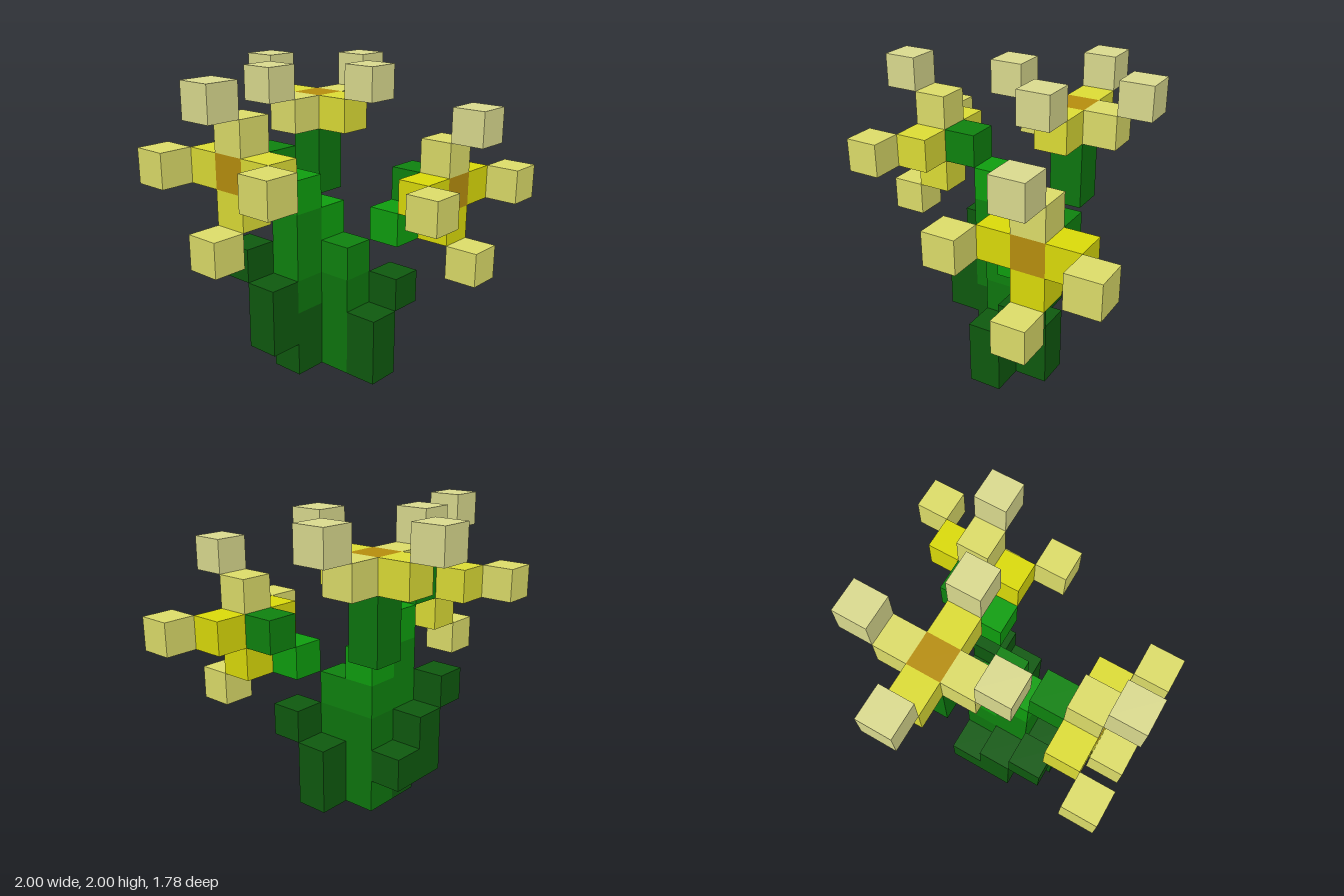
import * as THREE from 'three';

const U = 2 / 9; // edge of one cube

const COLORS = {
  leaf: 0x0f5a0f, stalk: 0x0e760e, stem: 0x0f830f, shoot: 0x0f9f0f, neck: 0x0d760f,
  heart: 0xb88f0e, gold: 0xdcdc0a, yellow: 0xdede36, lemon: 0xdede6a, pale: 0xdcdc90,
};
const materials = {};
for (const key in COLORS) materials[key] = new THREE.MeshStandardMaterial({ color: COLORS[key], flatShading: true });

// Block of cubes: first cell [x, y, z] and its size in cells
function block(parent, name, color, cell, size = [1, 1, 1]) {
  const mesh = new THREE.Mesh(new THREE.BoxGeometry(size[0] * U, size[1] * U, size[2] * U), materials[color]);
  mesh.position.set(
    (cell[0] + size[0] / 2 - 4.5) * U,
    (cell[1] + size[1] / 2) * U,
    (cell[2] + size[2] / 2 - 4) * U,
  );
  mesh.name = name;
  parent.add(mesh);
}

// Flower: a heart, four petals across the facing direction, four tips pushed one cell forward.
// Each petal is [direction, petal colour, tip colour].
function flower(parent, name, center, facing, petals) {
  const group = new THREE.Group();
  group.name = name;
  block(group, 'flowerHeart', 'heart', center);
  for (const [dir, petalColor, tipColor] of petals) {
    block(group, 'petal', petalColor, center.map((c, i) => c + dir[i]));
    block(group, 'petalTip', tipColor, center.map((c, i) => c + 2 * dir[i] + facing[i]));
  }
  parent.add(group);
}

export function createModel() {
  const model = new THREE.Group();
  model.name = 'flowerPlant';

  // Main stalk and its rising branches
  const stalk = new THREE.Group();
  stalk.name = 'stalk';
  block(stalk, 'lowerStalk', 'stalk', [4, 0, 3], [1, 3, 2]);
  block(stalk, 'lowerStalkSide', 'stalk', [3, 2, 3]);
  block(stalk, 'upperStalk', 'stem', [4, 3, 3], [1, 1, 2]);
  block(stalk, 'upperStalkSide', 'stem', [3, 3, 3], [1, 2, 1]);
  block(stalk, 'rightShoot', 'shoot', [3, 5, 3]);
  block(stalk, 'centreShoot', 'shoot', [4, 4, 3]);
  block(stalk, 'frontShoot', 'shoot', [5, 4, 5]);
  block(stalk, 'rightFlowerStem', 'stem', [2, 6, 3]);
  block(stalk, 'frontFlowerStem', 'stem', [6, 5, 5]);
  block(stalk, 'topFlowerStem', 'neck', [5, 5, 2], [1, 2, 1]);
  model.add(stalk);

  // Dark leaves hugging the base
  const leaves = new THREE.Group();
  leaves.name = 'leaves';
  block(leaves, 'frontLeaf', 'leaf', [4, 0, 5], [1, 2, 1]);
  block(leaves, 'leftLeaf', 'leaf', [5, 0, 4], [1, 2, 1]);
  block(leaves, 'frontLeafTip', 'leaf', [5, 2, 5]);
  block(leaves, 'innerLeaf', 'leaf', [3, 0, 3], [1, 2, 1]);
  block(leaves, 'rightLeaf', 'leaf', [2, 1, 3], [1, 2, 1]);
  block(leaves, 'backLeaf', 'leaf', [3, 1, 2], [1, 2, 1]);
  block(leaves, 'backLeafStep', 'leaf', [4, 1, 2]);
  block(leaves, 'backLeafTip', 'leaf', [2, 3, 2]);
  model.add(leaves);

  // Three flowers: facing up, facing right (-x) and facing front
  flower(model, 'topFlower', [5, 7, 2], [0, 1, 0], [
    [[1, 0, 0], 'lemon', 'pale'], [[-1, 0, 0], 'lemon', 'pale'],
    [[0, 0, 1], 'yellow', 'pale'], [[0, 0, -1], 'yellow', 'pale'],
  ]);
  flower(model, 'rightFlower', [1, 6, 3], [-1, 0, 0], [
    [[0, 1, 0], 'lemon', 'pale'], [[0, -1, 0], 'yellow', 'lemon'],
    [[0, 0, 1], 'yellow', 'lemon'], [[0, 0, -1], 'yellow', 'lemon'],
  ]);
  flower(model, 'frontFlower', [6, 5, 6], [0, 0, 1], [
    [[0, 1, 0], 'lemon', 'pale'], [[0, -1, 0], 'gold', 'lemon'],
    [[1, 0, 0], 'gold', 'lemon'], [[-1, 0, 0], 'gold', 'lemon'],
  ]);
  return model;
}
